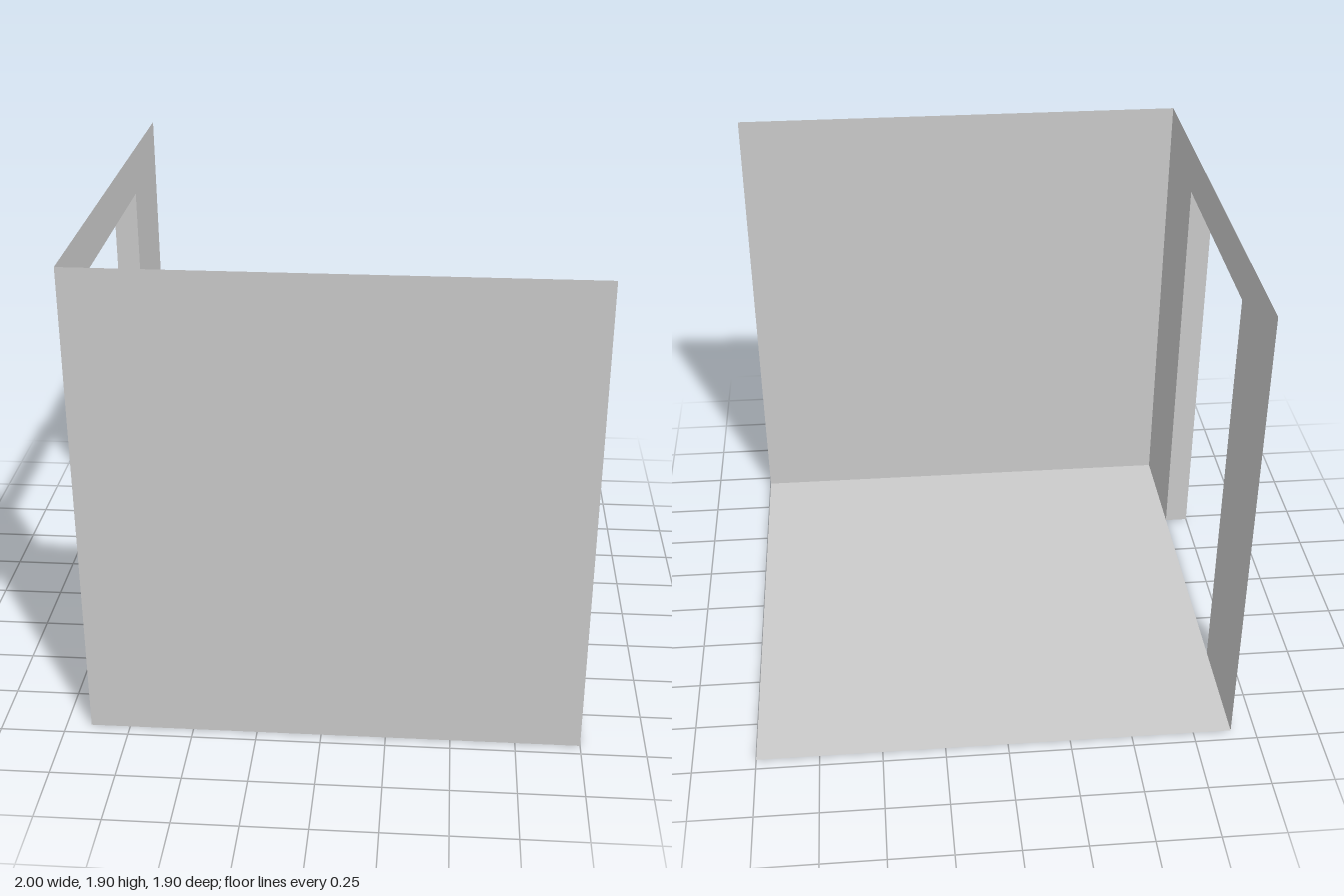
import * as THREE from 'three';

const material = new THREE.MeshStandardMaterial({ color: 0xcccccc, side: THREE.DoubleSide, flatShading: true });

const HALF = 0.95;            // half depth of the room
const X0 = -0.903, X1 = 1;    // door wall and open side
const HEIGHT = 1.905;
const DOOR_HALF = 0.48, DOOR_TOP = 1.717;
const FRAME_DEPTH = 0.097;

export function createModel() {
  const group = new THREE.Group();
  const add = (name, geometry) => {
    const mesh = new THREE.Mesh(geometry, material);
    mesh.name = name;
    group.add(mesh);
    return mesh;
  };
  const midX = (X0 + X1) / 2, width = X1 - X0;

  // Floor sheet
  add('floor', new THREE.PlaneGeometry(width, HALF * 2).rotateX(-Math.PI / 2))
    .position.set(midX, 0, 0);

  // Solid front wall
  add('frontWall', new THREE.PlaneGeometry(width, HEIGHT))
    .position.set(midX, HEIGHT / 2, HALF);

  // Side wall with a doorway reaching the floor
  const outline = new THREE.Shape([
    [-HALF, 0], [-DOOR_HALF, 0], [-DOOR_HALF, DOOR_TOP], [DOOR_HALF, DOOR_TOP],
    [DOOR_HALF, 0], [HALF, 0], [HALF, HEIGHT], [-HALF, HEIGHT],
  ].map(([x, y]) => new THREE.Vector2(x, y)));
  add('doorWall', new THREE.ShapeGeometry(outline).rotateY(-Math.PI / 2))
    .position.x = X0;

  // Door lining projecting outward: two jambs and a header
  const frameX = X0 - FRAME_DEPTH / 2;
  for (const side of [-1, 1]) {
    add(side > 0 ? 'frontJamb' : 'backJamb', new THREE.PlaneGeometry(FRAME_DEPTH, DOOR_TOP))
      .position.set(frameX, DOOR_TOP / 2, side * DOOR_HALF);
  }
  add('doorHeader', new THREE.PlaneGeometry(FRAME_DEPTH, DOOR_HALF * 2).rotateX(-Math.PI / 2))
    .position.set(frameX, DOOR_TOP, 0);

  return group;
}
